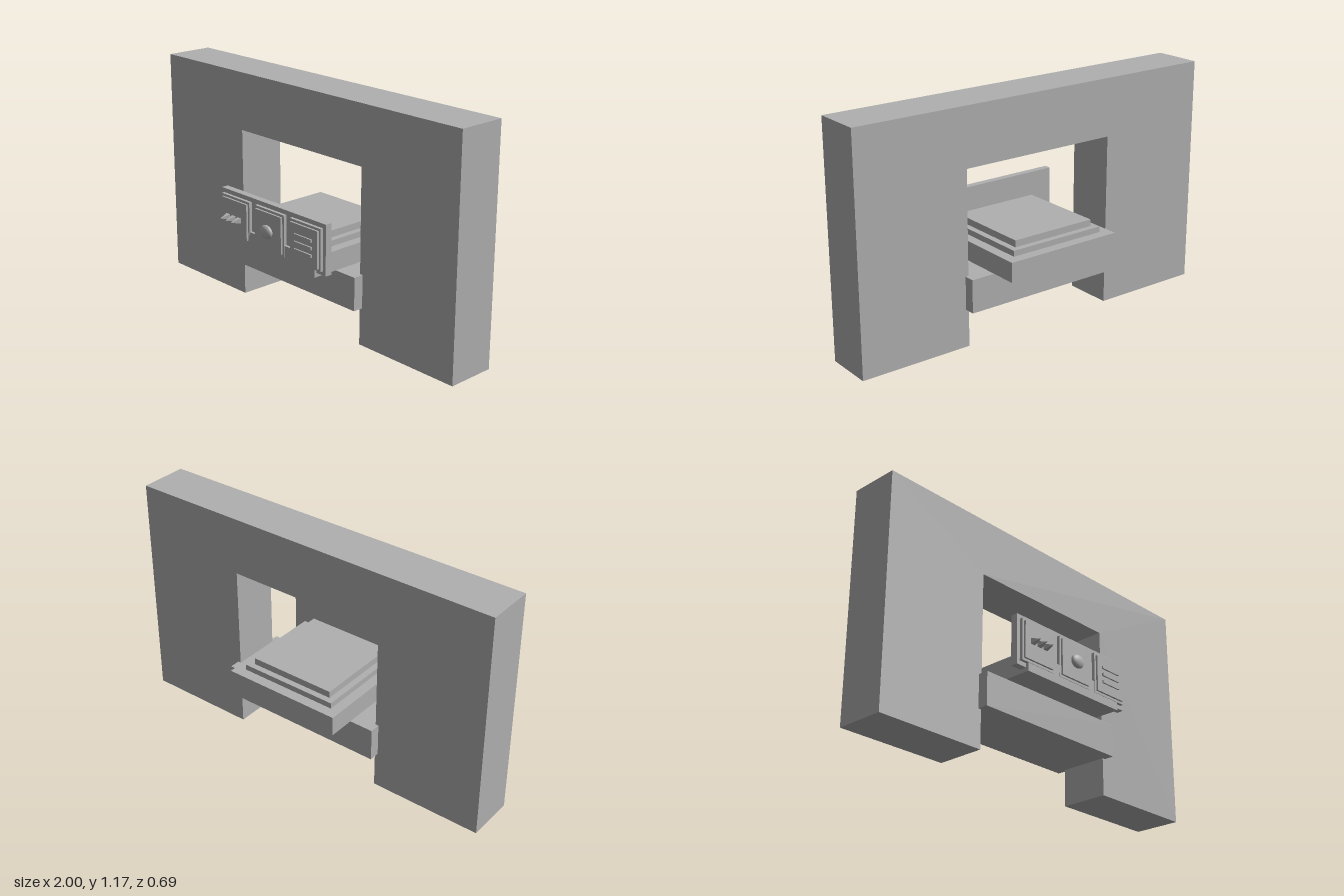
import * as THREE from 'three';

export function createModel() {
  const model = new THREE.Group();
  const grey = new THREE.MeshStandardMaterial({ color: 0xb0b0b0 });
  grey.name = 'plain grey';

  const add = (name, geometry, parent = model) => {
    const mesh = new THREE.Mesh(geometry, grey);
    mesh.name = name;
    parent.add(mesh);
    return mesh;
  };
  // Box given by its limits on each axis
  const box = (name, x0, x1, y0, y1, z0, z1, parent) =>
    add(name, new THREE.BoxGeometry(x1 - x0, y1 - y0, z1 - z0), parent)
      .position.set((x0 + x1) / 2, (y0 + y1) / 2, (z0 + z1) / 2);

  // Wall with a tall opening down to the ground
  const outline = new THREE.Shape([
    [-1, 0], [-0.42, 0], [-0.42, 0.875], [0.42, 0.875],
    [0.42, 0], [1, 0], [1, 1.168], [-1, 1.168],
  ].map(([x, y]) => new THREE.Vector2(x, y)));
  const wall = new THREE.ExtrudeGeometry(outline, { depth: 0.248, bevelEnabled: false });
  add('wall', wall.translate(0, 0, -0.155));

  // Sill across the opening, with the stepped counter on it
  box('sill', -0.436, 0.436, 0.19, 0.357, -0.209, 0.145);
  const counter = new THREE.Group();
  counter.name = 'counter';
  model.add(counter);
  box('counterBase', -0.312, 0.312, 0.357, 0.456, -0.345, 0.28, counter);
  box('counterStep', -0.26, 0.26, 0.456, 0.485, -0.292, 0.228, counter);
  box('counterTop', -0.228, 0.228, 0.485, 0.519, -0.261, 0.198, counter);

  // Control panel with three stepped plates
  const panel = new THREE.Group();
  panel.name = 'controlPanel';
  model.add(panel);
  box('panelBoard', -0.372, 0.372, 0.377, 0.628, 0.23, 0.266, panel);
  for (const x of [-0.25, 0, 0.25]) {
    box('plateFrame', x - 0.104, x + 0.104, 0.398, 0.606, 0.266, 0.282, panel);
    box('plate', x - 0.093, x + 0.093, 0.41, 0.594, 0.282, 0.292, panel);
  }

  // Three four-sided spikes
  for (const x of [-0.295, -0.253, -0.211]) {
    const spike = new THREE.ConeGeometry(0.019, 0.052, 4).toNonIndexed();
    spike.rotateY(Math.PI / 4).rotateX(Math.PI / 2);
    spike.computeVertexNormals();
    add('spike', spike, panel).position.set(x, 0.502, 0.318);
  }

  // Round button
  const button = new THREE.SphereGeometry(1, 32, 20).scale(0.04, 0.034, 0.018);
  add('button', button, panel).position.set(0, 0.502, 0.302);

  // Three ribs
  for (const y of [0.465, 0.502, 0.539]) {
    box('rib', 0.19, 0.308, y - 0.007, y + 0.007, 0.292, 0.3, panel);
  }

  return model;
}
